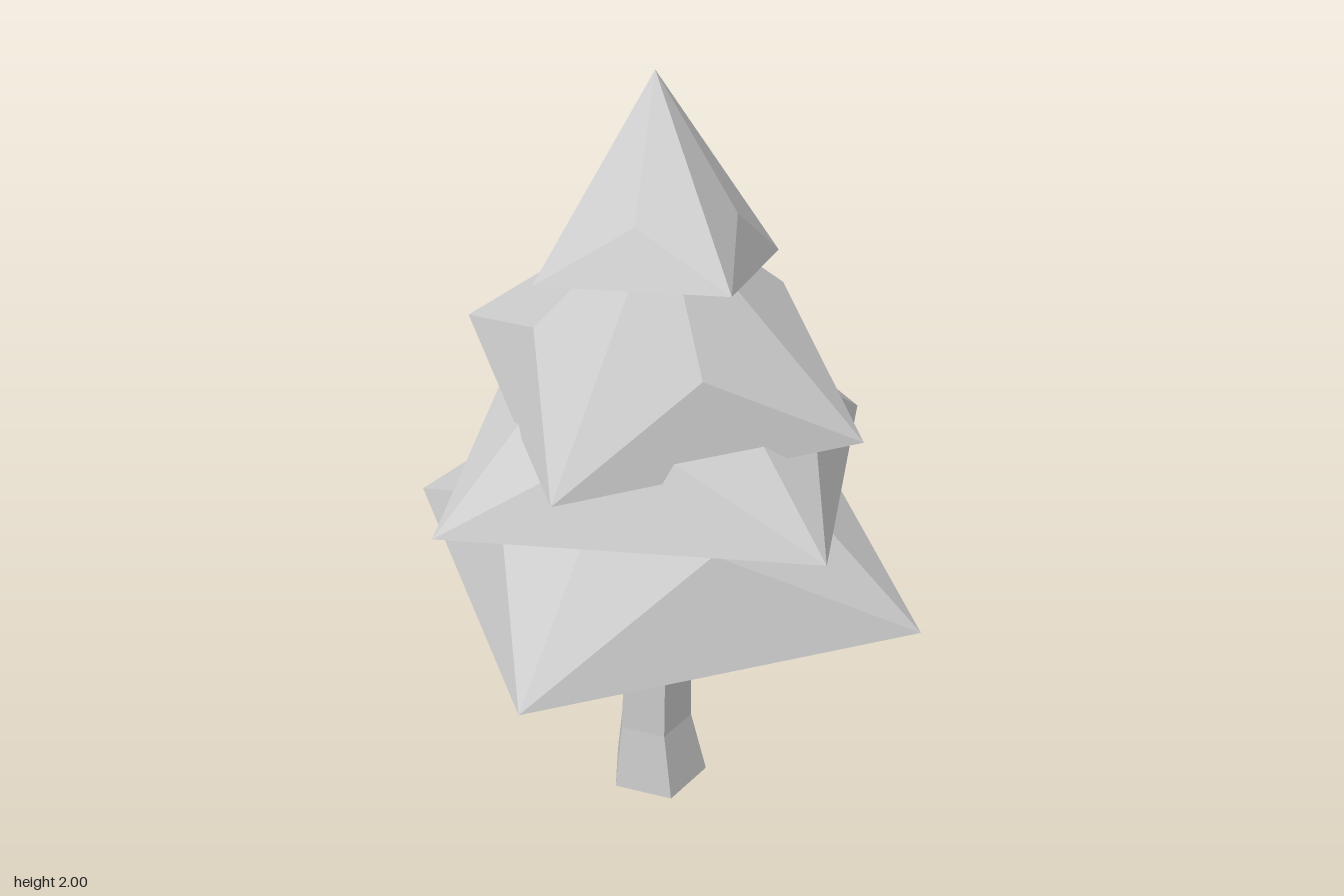
import * as THREE from 'three';

const material = new THREE.MeshStandardMaterial({ color: 0xcccccc, flatShading: true });

// Unshared triangles give crisp facets
function facetMesh(name, triangles) {
  const geometry = new THREE.BufferGeometry().setFromPoints(triangles);
  geometry.computeVertexNormals();
  const mesh = new THREE.Mesh(geometry, material);
  mesh.name = name;
  return mesh;
}

const polar = (r, degrees, y) => {
  const a = THREE.MathUtils.degToRad(degrees);
  return new THREE.Vector3(r * Math.cos(a), y, r * Math.sin(a));
};

// Four-sided pyramid whose sides each bulge out at one middle point
function foliageTier(name, { radius, angle, y, height, bulge, tilt }) {
  const apex = new THREE.Vector3(0, height, 0);
  const corners = [0, 1, 2, 3].map(i => polar(radius, angle + i * 90, 0));
  const tris = [];
  corners.forEach((a, i) => {
    const b = corners[(i + 1) % 4];
    const m = a.clone().add(b).multiplyScalar(0.5 * 0.815).setY(bulge);
    tris.push(b, a, m, a, apex, m, apex, b, m);
  });
  const [c0, c1, c2, c3] = corners;
  tris.push(c0, c1, c2, c0, c2, c3); // underside
  const mesh = facetMesh(name, tris);
  mesh.position.y = y;
  mesh.rotation.x = tilt;
  return mesh;
}

// Crooked five-sided trunk lofted through rings
function trunk() {
  const sides = 5;
  const rings = [ // y, radius, centre x, centre z
    [0, 0.137, -0.008, 0.018],
    [0.2, 0.103, -0.018, 0.028],
    [0.43, 0.098, -0.015, 0.036],
    [0.72, 0.088, -0.016, 0],
    [0.9, 0.08, -0.01, -0.01],
  ].map(([y, r, x, z]) => Array.from({ length: sides }, (_, i) =>
    polar(r, 78 + i * 72, y).add(new THREE.Vector3(x, 0, z))));
  const tris = [];
  for (let k = 0; k < rings.length - 1; k++) {
    for (let i = 0; i < sides; i++) {
      const j = (i + 1) % sides;
      const [a, b, c, d] = [rings[k][i], rings[k][j], rings[k + 1][j], rings[k + 1][i]];
      tris.push(a, d, b, b, d, c);
    }
  }
  // End caps
  const foot = rings[0], top = rings[rings.length - 1];
  for (let i = 1; i < sides - 1; i++) {
    tris.push(foot[0], foot[i], foot[i + 1], top[0], top[i + 1], top[i]);
  }
  return facetMesh('trunk', tris);
}

export function createModel() {
  const tree = new THREE.Group();
  tree.name = 'pineTree';
  tree.add(trunk());
  const tiers = {
    bottomFoliage: { radius: 0.727, angle: 31.6, y: 0.7, height: 0.65, bulge: 0.28, tilt: 0 },
    lowerFoliage: { radius: 0.662, angle: 59, y: 0.975, height: 0.6, bulge: 0.26, tilt: -0.126 },
    upperFoliage: { radius: 0.547, angle: 31.6, y: 1.243, height: 0.52, bulge: 0.22, tilt: 0.147 },
    topFoliage: { radius: 0.338, angle: 65.5, y: 1.543, height: 0.47, bulge: 0.14, tilt: -0.23 },
  };
  for (const [name, spec] of Object.entries(tiers)) tree.add(foliageTier(name, spec));
  return tree;
}
